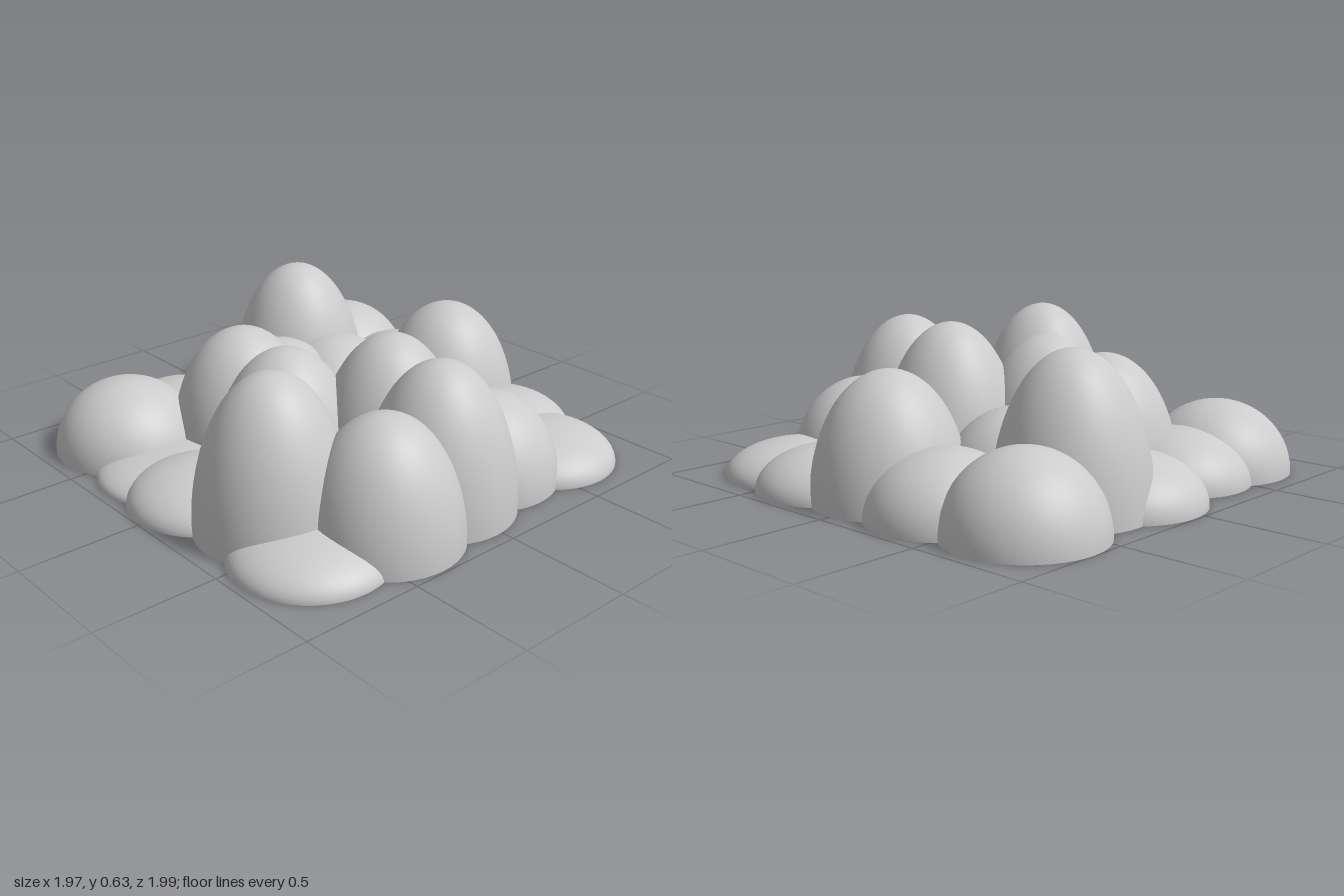
import * as THREE from 'three';

const RADIUS = 0.31;

// Mound layout, row by row from back to front: [x, z, height]
const ROWS = [
  [[-0.64, -0.62, 0.3], [-0.37, -0.605, 0.22], [0.055, -0.685, 0.21], [0.29, -0.605, 0.62], [0.645, -0.69, 0.325]],
  [[-0.65, -0.28, 0.1], [-0.23, -0.335, 0.515], [0.0, -0.385, 0.385], [0.27, -0.31, 0.36], [0.666, -0.32, 0.265]],
  [[-0.68, -0.01, 0.15], [-0.3, 0.04, 0.55], [0.0, 0.0, 0.25], [0.33, 0.0, 0.1], [0.645, 0.01, 0.515]],
  [[-0.62, 0.35, 0.635], [-0.32, 0.33, 0.2], [0.02, 0.31, 0.61], [0.34, 0.33, 0.1], [0.67, 0.325, 0.18]],
  [[-0.66, 0.61, 0.135], [-0.36, 0.68, 0.505], [-0.03, 0.635, 0.61], [0.285, 0.575, 0.375], [0.608, 0.616, 0.15]],
];

export function createModel() {
  const group = new THREE.Group();
  group.name = 'moundCluster';
  const material = new THREE.MeshStandardMaterial({ color: 0xcccccc });

  // Unit half sphere and the flat disc that closes it underneath
  const domeGeometry = new THREE.SphereGeometry(1, 48, 24, 0, Math.PI * 2, 0, Math.PI / 2);
  const baseGeometry = new THREE.CircleGeometry(1, 48).rotateX(Math.PI / 2);

  ROWS.forEach((row, r) => row.forEach(([x, z, height], c) => {
    const mound = new THREE.Group();
    mound.name = `mound_row${r + 1}_column${c + 1}`;
    mound.position.set(x, 0, z);
    mound.scale.set(RADIUS, height, RADIUS);

    const dome = new THREE.Mesh(domeGeometry, material);
    dome.name = 'dome';
    const base = new THREE.Mesh(baseGeometry, material);
    base.name = 'base';
    mound.add(dome, base);
    group.add(mound);
  }));

  return group;
}
